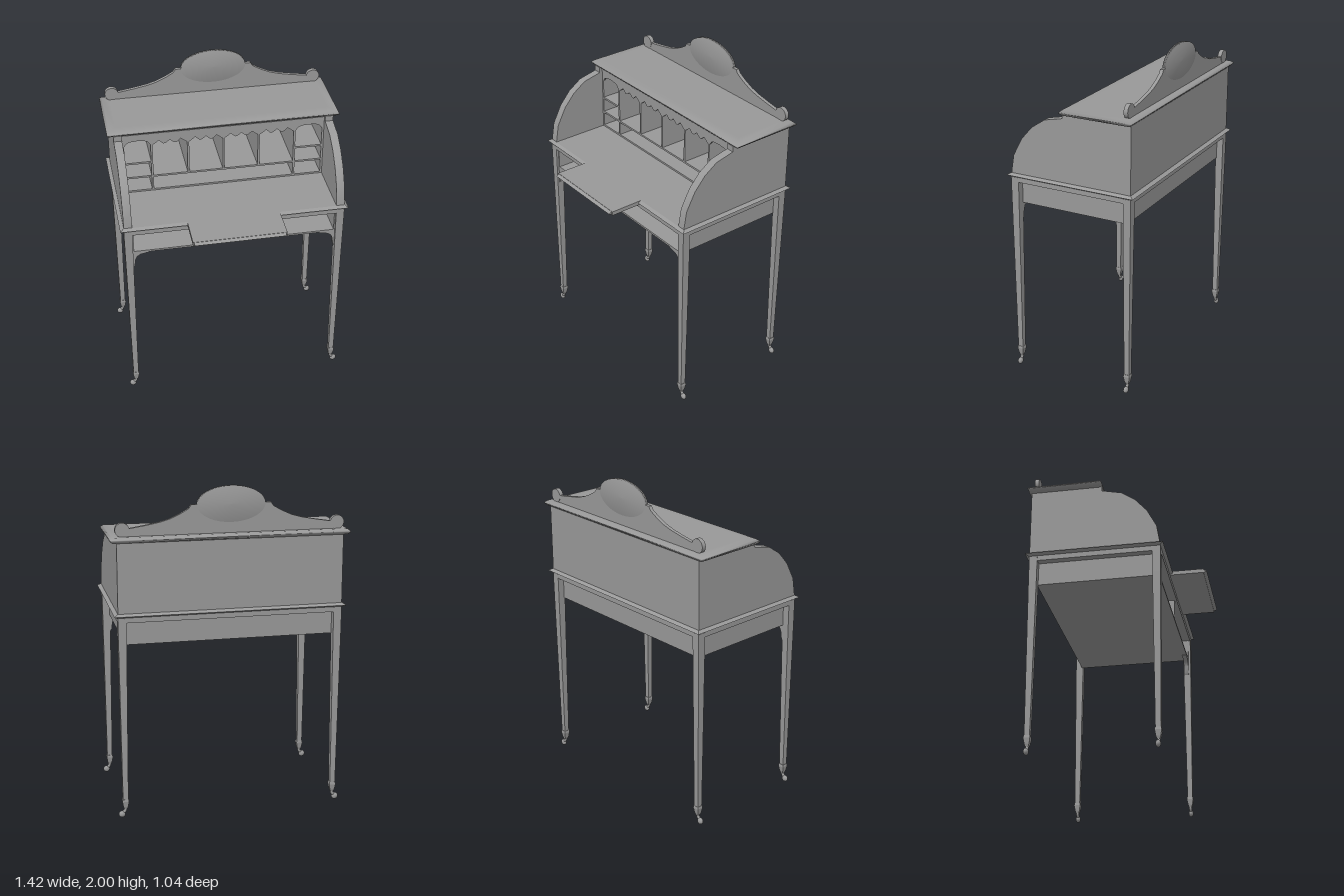
import * as THREE from 'three';
import { toCreasedNormals } from 'three/addons/utils/BufferGeometryUtils.js';

const mat = new THREE.MeshStandardMaterial({ color: 0x999999, side: THREE.DoubleSide });

function add(parent, name, geo) {
  const m = new THREE.Mesh(geo, mat);
  m.name = name;
  parent.add(m);
  return m;
}

// Box given by its limits on each axis
function box(parent, name, x0, x1, y0, y1, z0, z1) {
  const m = add(parent, name, new THREE.BoxGeometry(x1 - x0, y1 - y0, z1 - z0));
  m.position.set((x0 + x1) / 2, (y0 + y1) / 2, (z0 + z1) / 2);
  return m;
}

// Stack of rectangles: each level is [y, x0, x1, z0, z1]
function loft(parent, name, levels, smooth = false) {
  const pos = [], idx = [], n = levels.length;
  for (const [y, x0, x1, z0, z1] of levels) pos.push(x0, y, z1, x1, y, z1, x1, y, z0, x0, y, z0);
  for (let i = 0; i < n - 1; i++) {
    for (let k = 0; k < 4; k++) {
      const a = i * 4 + k, b = i * 4 + (k + 1) % 4;
      idx.push(a, b, b + 4, a, b + 4, a + 4);
    }
  }
  const t = (n - 1) * 4;
  idx.push(0, 2, 1, 0, 3, 2, t, t + 1, t + 2, t, t + 2, t + 3);
  const g = new THREE.BufferGeometry();
  g.setAttribute('position', new THREE.Float32BufferAttribute(pos, 3));
  g.setIndex(idx);
  const shaded = smooth ? g : g.toNonIndexed();
  shaded.computeVertexNormals();
  return add(parent, name, shaded);
}

// Board with moulded edges: steps are [y, inset]
const board = (parent, name, x0, x1, z0, z1, steps, smooth) =>
  loft(parent, name, steps.map(([y, i]) => [y, x0 + i, x1 - i, z0 + i, z1 - i]), smooth);

// Flat shape in the xy plane with thickness along z, gentle curves shaded smooth
function plate(parent, name, pts, z, depth) {
  const s = new THREE.Shape(pts.map(p => new THREE.Vector2(p[0], p[1])));
  const geo = new THREE.ExtrudeGeometry(s, { depth, bevelEnabled: false });
  const m = add(parent, name, toCreasedNormals(geo, 0.6));
  m.position.z = z;
  return m;
}

function makeLeg(sx, front) {
  const leg = new THREE.Group();
  leg.name = front ? 'frontLeg' : 'backLeg';
  const x = 0.65 * sx, z = front ? 0.27 : -0.474;
  const sq = (y, h) => [y, x - h, x + h, z - h, z + h];
  loft(leg, 'taperedPost', [sq(0.115, 0.016), sq(1.08, 0.024), sq(1.25, 0.025)]);
  loft(leg, 'foot', [sq(0.055, 0.009), sq(0.07, 0.014), sq(0.105, 0.02), sq(0.12, 0.018)]);
  // Caster swept outwards below the foot
  const path = new THREE.CatmullRomCurve3([
    new THREE.Vector3(x, 0.065, z), new THREE.Vector3(x + 0.002 * sx, 0.045, z),
    new THREE.Vector3(x + 0.022 * sx, 0.024, z)]);
  add(leg, 'casterFork', new THREE.TubeGeometry(path, 8, 0.01, 8));
  const wheel = add(leg, 'casterWheel', new THREE.SphereGeometry(1, 16, 12));
  wheel.scale.set(0.021, 0.021, 0.015);
  wheel.position.set(x + 0.021 * sx, 0.021, z);
  return leg;
}

// Cabinet below the writing surface, open at the front
function makeApron() {
  const g = new THREE.Group();
  g.name = 'apron';
  box(g, 'apronFloor', -0.63, 0.63, 1.08, 1.092, -0.455, 0.28);
  box(g, 'apronBack', -0.63, 0.63, 1.08, 1.23, -0.457, -0.445);
  box(g, 'compartmentDivider', -0.006, 0.006, 1.09, 1.23, -0.45, 0.28);
  box(g, 'topRail', -0.674, 0.674, 1.222, 1.256, -0.498, 0.294);
  for (const s of [-1, 1]) {
    const a = 0.618 * s, b = 0.63 * s;
    box(g, 'apronSide', Math.min(a, b), Math.max(a, b), 1.08, 1.23, -0.455, 0.28);
    // Curved bracket at the front leg
    plate(g, 'legBracket', [[0.628, 0.97], [0.618, 0.985], [0.612, 1.03], [0.602, 1.052],
      [0.58, 1.066], [0.53, 1.076], [0.53, 1.085], [0.628, 1.085]].map(p => [p[0] * s, p[1]]), 0.25, 0.03);
  }
  return g;
}

// Rolled side panel, profile drawn in z and y
function makeSide(s) {
  const prof = [[-0.497, 1.27], [0.292, 1.27], [0.288, 1.3], [0.273, 1.39], [0.215, 1.5], [0.145, 1.58],
    [0.06, 1.638], [-0.06, 1.665], [-0.06, 1.7], [-0.497, 1.7]];
  const m = plate(new THREE.Group(), 'sidePanel', prof.map(p => [-p[0], p[1]]), 0, 0.05);
  m.rotation.y = Math.PI / 2;
  m.position.x = s > 0 ? 0.624 : -0.674;
  return m;
}

function makePigeonholes() {
  const g = new THREE.Group();
  g.name = 'pigeonholes';
  const zb = -0.482, zf = -0.08, t = 0.006;
  const wall = [-0.618, -0.446, -0.222, -0.003, 0.216, 0.44, 0.618];
  const shelf = (n, a, b, y) => box(g, n, a, b, y - t, y + t, zb, zf);
  shelf('bottomBoard', -0.624, 0.624, 1.282);
  shelf('lowerShelf', -0.624, 0.624, 1.381);
  shelf('topBoard', -0.624, 0.624, 1.68);
  shelf('sideShelf', wall[0], wall[1], 1.483);
  shelf('sideShelf', wall[5], wall[6], 1.483);
  wall.forEach((x, i) => {
    const short = i > 1 && i < 5;
    box(g, 'divider', x - t, x + t, short ? 1.38 : 1.28, 1.68, zb, zf);
  });
  // Scalloped valances over each opening
  const arch = [[0, 1.6], [0.06, 1.613], [0.13, 1.63], [0.25, 1.638], [0.5, 1.642]];
  const scallop = [[0, 1.6], [0.1, 1.615], [0.2, 1.633], [0.32, 1.608], [0.4, 1.612], [0.5, 1.632]];
  for (let i = 0; i < 6; i++) {
    const half = i === 0 || i === 5 ? arch : scallop;
    const edge = [...half, ...half.slice(0, -1).reverse().map(p => [1 - p[0], p[1]])];
    const x0 = wall[i], w = wall[i + 1] - x0;
    plate(g, 'valance', [...edge.map(p => [x0 + p[0] * w, p[1]]), [x0 + w, 1.685], [x0, 1.685]], zf - 0.012, 0.012);
  }
  return g;
}

function makeCrest() {
  const g = new THREE.Group();
  g.name = 'crest';
  const half = [[0.62, 1.722], [0.62, 1.772], [0.595, 1.772], [0.5, 1.787], [0.42, 1.802], [0.36, 1.819],
    [0.3, 1.846], [0.25, 1.875], [0.236, 1.897], [0.15, 1.897]];
  plate(g, 'crestBoard', [...half, ...half.slice().reverse().map(p => [-p[0], p[1]])], -0.478, 0.022);
  // Softly domed oval disc
  const disc = [[0, -0.016], [0.202, -0.0125], [0.202, 0.0125], [0, 0.016]].map(p => new THREE.Vector2(...p));
  const oval = add(g, 'ovalMedallion', new THREE.LatheGeometry(disc, 48));
  oval.scale.z = 0.525;
  oval.rotation.x = Math.PI / 2;
  oval.position.set(0, 1.894, -0.467);
  for (const s of [-1, 1]) {
    const scroll = add(g, 'scrollEnd', new THREE.CylinderGeometry(0.042, 0.042, 0.026, 20));
    scroll.rotation.x = Math.PI / 2;
    scroll.position.set(0.638 * s, 1.764, -0.467);
  }
  return g;
}

export function createModel() {
  const desk = new THREE.Group();
  desk.name = 'rollTopDesk';
  for (const s of [-1, 1]) {
    desk.add(makeLeg(s, true), makeLeg(s, false), makeSide(s));
  }
  desk.add(makeApron(), makePigeonholes(), makeCrest());

  // Writing surface with its pull-out centre leaf flush at the top
  board(desk, 'writingSurface', -0.697, 0.697, -0.522, 0.313, [[1.254, 0.02], [1.265, 0], [1.277, 0.02]]);
  box(desk, 'pullOutLeaf', -0.293, 0.272, 1.252, 1.277, 0.29, 0.502);
  loft(desk, 'leafEdge', [[1.256, -0.285, 0.263, 0.49, 0.503], [1.265, -0.285, 0.263, 0.49, 0.522],
    [1.275, -0.285, 0.263, 0.49, 0.503]]);

  box(desk, 'backPanel', -0.674, 0.674, 1.27, 1.7, -0.498, -0.482);
  board(desk, 'topBoard', -0.712, 0.712, -0.516, -0.058,
    [[1.692, 0.015], [1.706, 0], [1.713, 0.001], [1.725, 0.015], [1.727, 0.06]], true);
  return desk;
}
